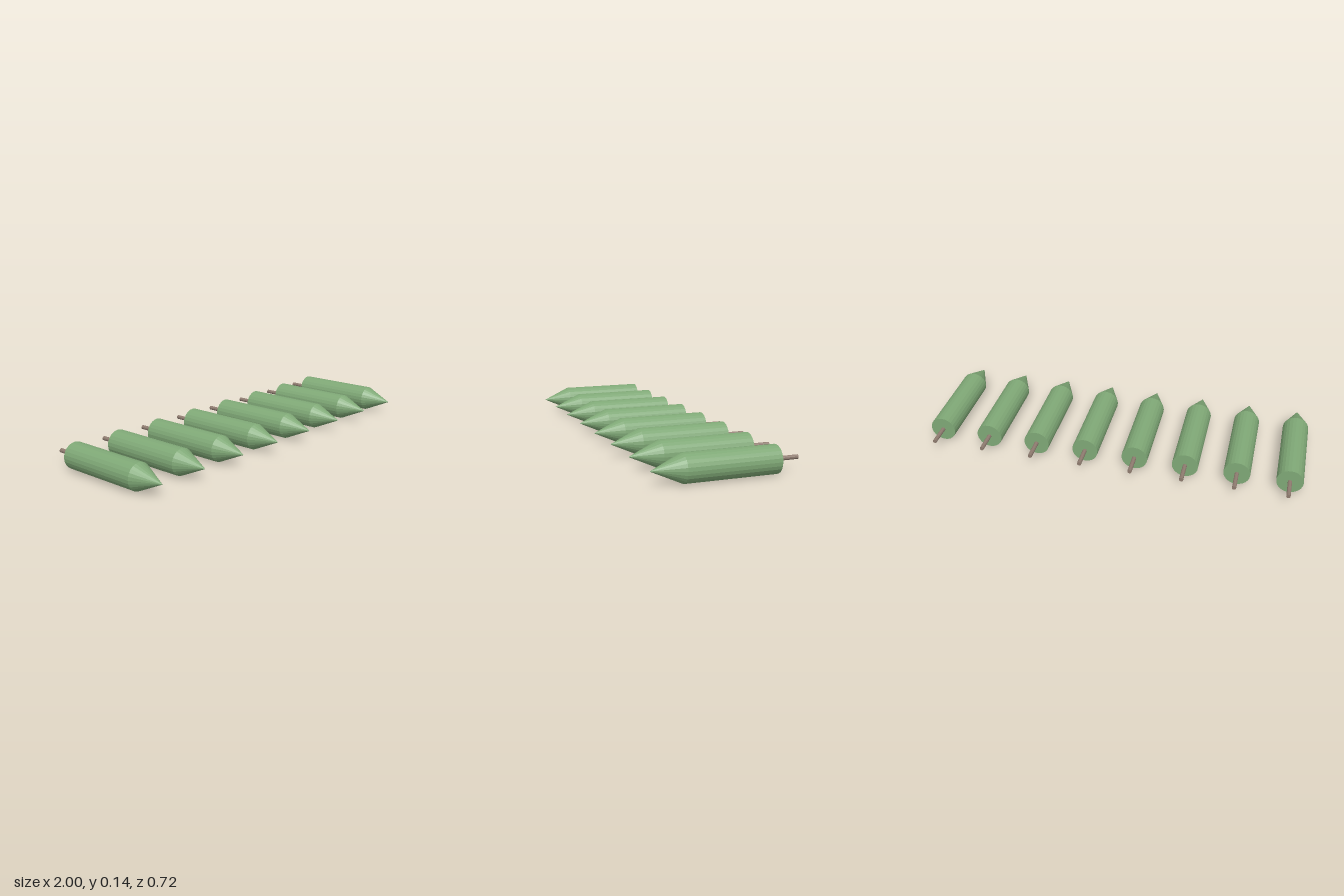
import * as THREE from 'three';

const RADIUS = 0.068;
const SIDES = 24;
const COUNT = 8;

export function createModel() {
  const green = new THREE.MeshStandardMaterial({ color: 0x7fa876, flatShading: true });
  green.name = 'sage green';
  const brown = new THREE.MeshStandardMaterial({ color: 0x8f7c70, flatShading: true });
  brown.name = 'brown grey';

  // Round section along z, from back to front
  const section = (rFront, rBack, zBack, zFront, sides, openBack) => {
    const length = zFront - zBack;
    const geometry = rFront === 0
      ? new THREE.ConeGeometry(rBack, length, sides, 1, openBack)
      : new THREE.CylinderGeometry(rFront, rBack, length, sides);
    return geometry.rotateX(Math.PI / 2).translate(0, 0, (zBack + zFront) / 2);
  };

  const parts = [
    ['body', section(RADIUS, RADIUS, -0.247, 0.21, SIDES), green],
    ['tip', section(0, RADIUS, 0.21, 0.36, SIDES, true), green],
    ['stem', section(0.011, 0.011, -0.36, -0.245, 10), brown],
  ];

  // Row of identical pointed rods
  const model = new THREE.Group();
  model.name = 'pointedRods';
  const reach = 1 - RADIUS;
  for (let i = 0; i < COUNT; i++) {
    const rod = new THREE.Group();
    rod.name = `rod${i + 1}`;
    rod.position.set(-reach + (2 * reach * i) / (COUNT - 1), RADIUS, 0);
    for (const [name, geometry, material] of parts) {
      const mesh = new THREE.Mesh(geometry, material);
      mesh.name = name;
      rod.add(mesh);
    }
    model.add(rod);
  }
  return model;
}
